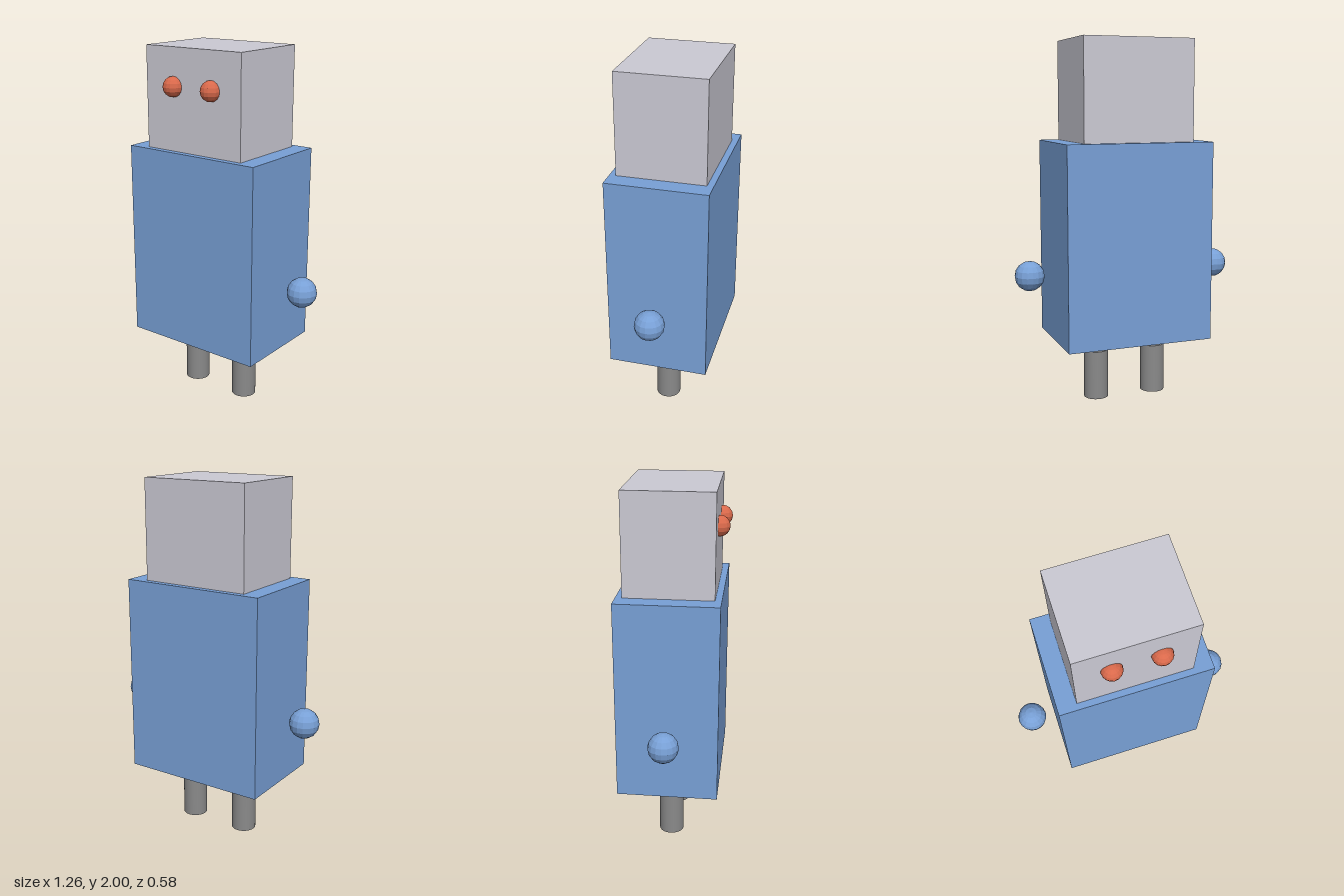
import * as THREE from 'three';

export function createModel() {
  const model = new THREE.Group();
  model.name = 'robot';
  const Z = -0.014; // body axis; the eyes project forward of it

  const material = (name, color, flatShading = false) => {
    const m = new THREE.MeshStandardMaterial({ color, flatShading });
    m.name = name;
    return m;
  };
  const blue = material('blue', 0x78a0d6, true);
  const lightGrey = material('lightGrey', 0xcbcad4, true);
  const red = material('red', 0xd9694b, true);
  const darkGrey = material('darkGrey', 0x8a8a8a);

  const add = (name, geometry, mat, x, y, z) => {
    const mesh = new THREE.Mesh(geometry, mat);
    mesh.name = name;
    mesh.position.set(x, y, z);
    model.add(mesh);
  };

  // Torso and head
  add('torso', new THREE.BoxGeometry(0.825, 1.1, 0.55), blue, 0, 0.9, Z);
  add('head', new THREE.BoxGeometry(0.62, 0.55, 0.48), lightGrey, 0, 1.725, Z);

  // Mirrored parts: floating hands and legs, eyes set into the face
  const hand = new THREE.SphereGeometry(0.082, 16, 8);
  const eye = new THREE.SphereGeometry(0.055, 16, 8);
  const leg = new THREE.CylinderGeometry(0.069, 0.069, 0.275, 32);
  for (const [side, s] of [['left', 1], ['right', -1]]) {
    add(side + 'Hand', hand, blue, s * 0.55, 0.726, Z);
    add(side + 'Eye', eye, red, s * 0.124, 1.795, 0.232);
    add(side + 'Leg', leg, darkGrey, s * 0.172, 0.1375, Z);
  }
  return model;
}
